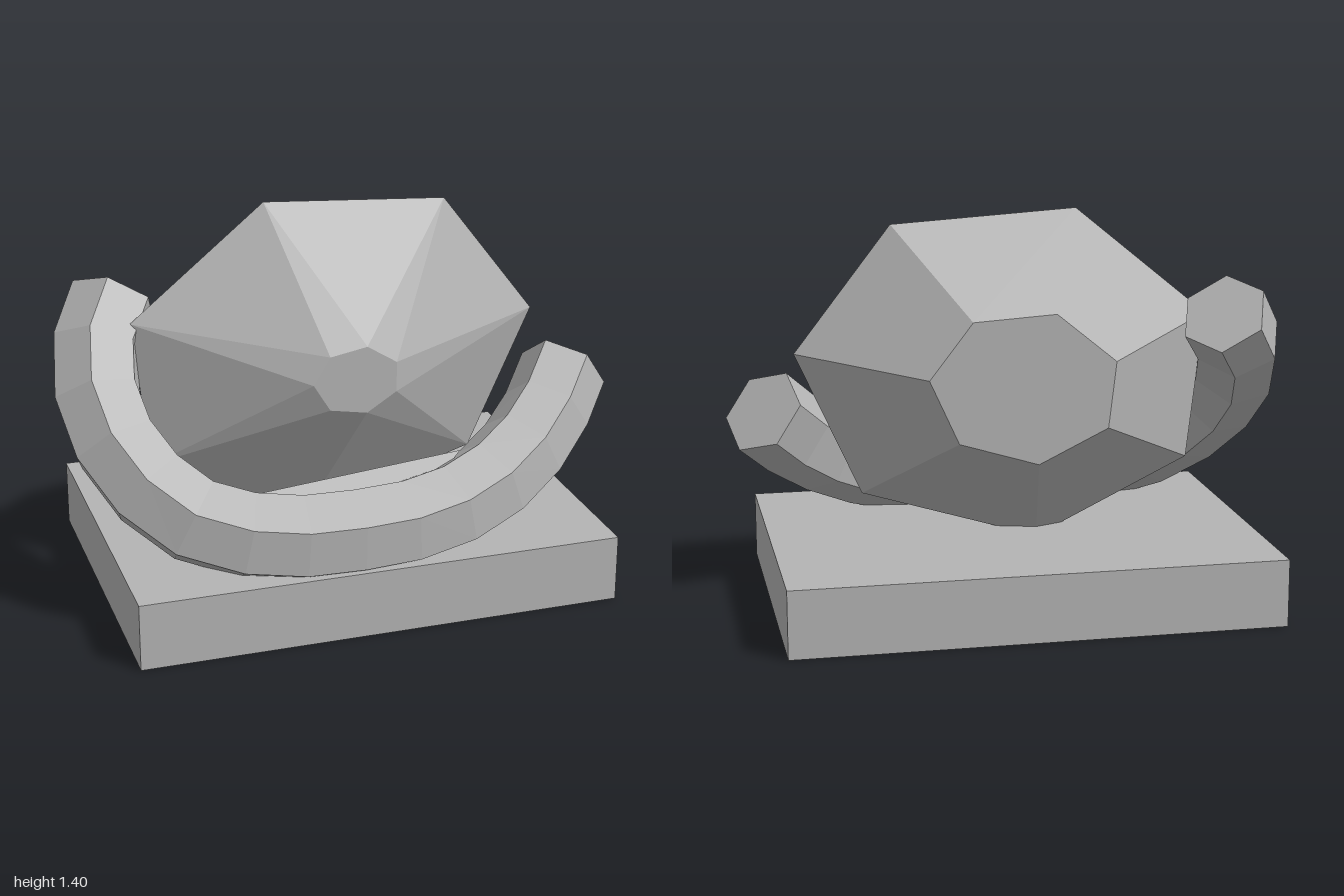
import * as THREE from 'three';

const V = (x, y, z) => new THREE.Vector3(x, y, z);

// Flat-faced mesh from a list of corner points, three per triangle
function facetMesh(name, corners, material) {
  const geometry = new THREE.BufferGeometry().setFromPoints(corners);
  geometry.computeVertexNormals();
  const mesh = new THREE.Mesh(geometry, material);
  mesh.name = name;
  return mesh;
}

// Fan over a convex ring, counter-clockwise as seen from outside
function fan(ring) {
  const out = [];
  for (let i = 1; i < ring.length - 1; i++) out.push(ring[0], ring[i], ring[i + 1]);
  return out;
}

// Seven-sided cut stone: small front table, wide girdle, larger back table
function createGem(material) {
  const n = 7, tilt = 0.117, cy = 0.815;
  const table = [], girdle = [], back = [];
  for (let i = 0; i < n; i++) {
    const a = (i / n) * Math.PI * 2, b = a + Math.PI / n;
    const x = 0.775 * Math.cos(a), y = 0.62 * Math.sin(a);
    const gx = x * Math.cos(tilt) - y * Math.sin(tilt);
    const gy = x * Math.sin(tilt) + y * Math.cos(tilt);
    girdle.push(V(gx, cy + gy, 0));
    back.push(V(gx * 0.44, cy + gy * 0.44, -0.31));
    table.push(V(0.158 * Math.cos(b), cy + 0.006 + 0.125 * Math.sin(b), 0.313));
  }
  const tris = [...fan(table), ...fan([...back].reverse())];
  for (let i = 0; i < n; i++) {
    const j = (i + 1) % n, h = (i + n - 1) % n;
    tris.push(girdle[i], girdle[j], table[i]);
    tris.push(girdle[i], table[i], table[h]);
    tris.push(girdle[j], girdle[i], back[i]);
    tris.push(girdle[j], back[i], back[j]);
  }
  return facetMesh('gem', tris, material);
}

// Six-sided bar curling around the stone in a leaning plane
function createBand(material) {
  const path = new THREE.CatmullRomCurve3([
    [-0.74, 0.95], [-0.83, 0.78], [-0.855, 0.58], [-0.79, 0.33], [-0.61, 0.115],
    [-0.36, 0.02], [-0.08, 0], [0.24, 0.02], [0.5, 0.115], [0.72, 0.285], [0.875, 0.485],
  ].map(([x, rise]) => V(x, 0.33 + 0.735 * rise, 0.47 - 0.695 * rise - 0.06 * Math.max(0, x))));
  const segments = 14, sides = 6, radius = 0.16;
  const rings = [];
  for (let i = 0; i <= segments; i++) {
    const centre = path.getPointAt(i / segments);
    const along = path.getTangentAt(i / segments);
    const outward = along.clone().cross(V(0, 0.687, 0.727)).normalize();
    const normal = outward.clone().cross(along).negate();
    const ring = [];
    for (let k = 0; k < sides; k++) {
      const a = (15 + 60 * k) * Math.PI / 180;
      ring.push(centre.clone()
        .addScaledVector(outward, radius * Math.cos(a))
        .addScaledVector(normal, radius * Math.sin(a) * Math.sign(normal.y + normal.z)));
    }
    rings.push(ring);
  }
  const tris = [...fan(rings[0]), ...fan([...rings[segments]].reverse())];
  for (let i = 0; i < segments; i++) {
    for (let k = 0; k < sides; k++) {
      const m = (k + 1) % sides, a = rings[i], b = rings[i + 1];
      tris.push(a[k], b[k], a[m], a[m], b[k], b[m]);
    }
  }
  return facetMesh('band', tris, material);
}

export function createModel() {
  const model = new THREE.Group();
  const stone = new THREE.MeshStandardMaterial({ color: 0xb4b4b4 });
  stone.name = 'grey stone';
  stone.flatShading = true;
  stone.side = THREE.DoubleSide;

  // Rectangular plinth
  const base = new THREE.Mesh(new THREE.BoxGeometry(1.73, 0.24, 1.24), stone);
  base.name = 'base';
  base.position.set(0.005, 0.12, 0);
  model.add(base);

  model.add(createGem(stone), createBand(stone));

  // Thin lip rising behind the lowest part of the band
  model.add(facetMesh('lip', fan([
    V(-0.41, 0.46, 0.35), V(-0.2, 0.38, 0.44), V(0.18, 0.38, 0.44), V(0.37, 0.53, 0.35),
  ]), stone));

  return model;
}
